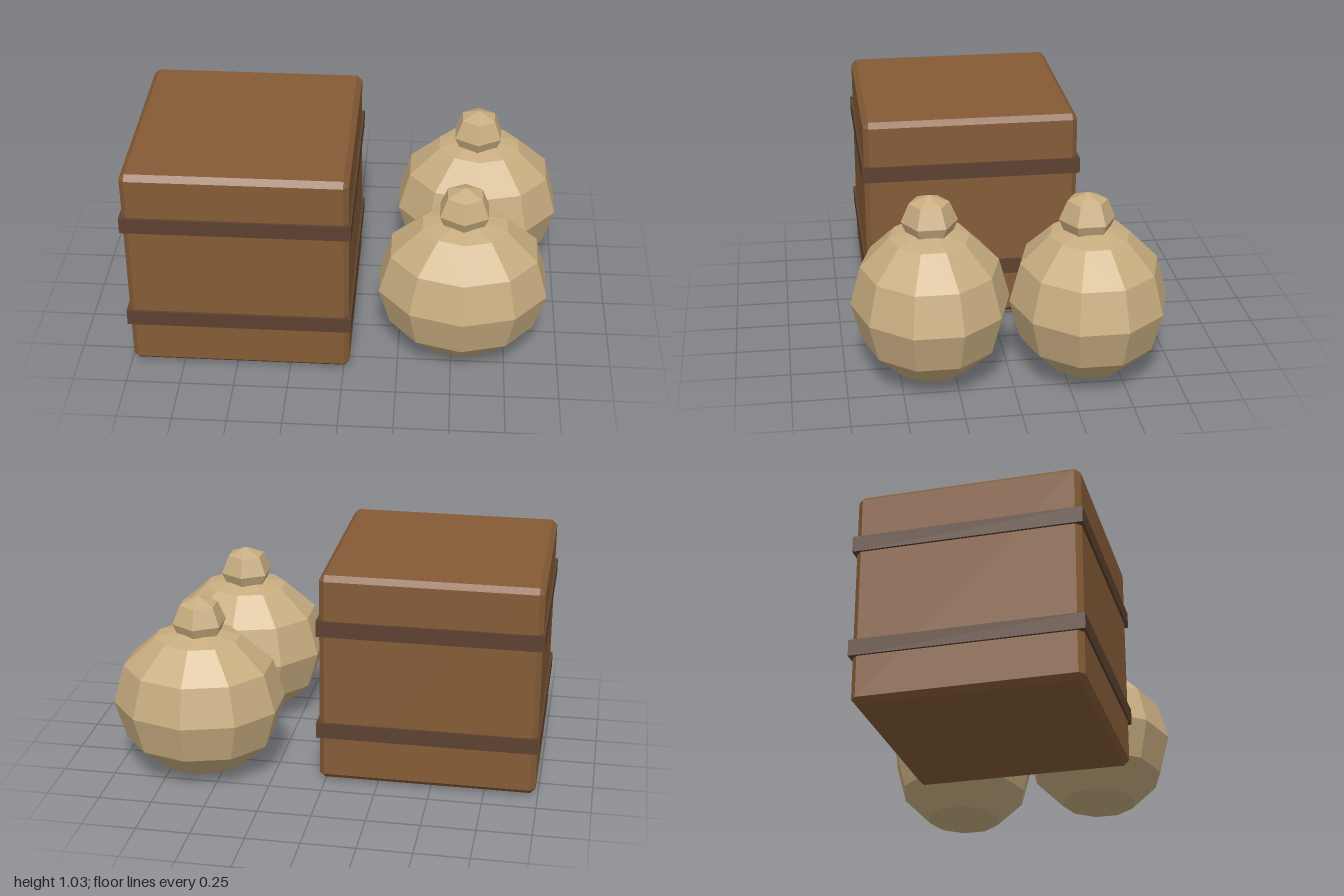
import * as THREE from 'three';
import { ConvexGeometry } from 'three/addons/geometries/ConvexGeometry.js';

const flat = (name, color) => {
  const m = new THREE.MeshStandardMaterial({ color, flatShading: true });
  m.name = name;
  return m;
};

// Cube with a single flat chamfer on every edge
function chamferedCube(half, c) {
  const pts = [], s = [-1, 1], a = half - c;
  for (const x of s) for (const y of s) for (const z of s) {
    pts.push(new THREE.Vector3(x * half, y * a, z * a));
    pts.push(new THREE.Vector3(x * a, y * half, z * a));
    pts.push(new THREE.Vector3(x * a, y * a, z * half));
  }
  return new ConvexGeometry(pts);
}

export function createModel() {
  const model = new THREE.Group();
  const wood = flat('crate wood', 0x855b36);
  const strap = flat('dark strap', 0x5c412f);
  const cloth = flat('sack cloth', 0xc8ad80);

  const add = (parent, name, geometry, material, x, y, z) => {
    const mesh = new THREE.Mesh(geometry, material);
    mesh.name = name;
    mesh.position.set(x, y, z);
    parent.add(mesh);
    return mesh;
  };

  // Crate with two straps around it
  const crate = new THREE.Group();
  crate.name = 'crate';
  crate.position.set(-0.481, 0, 0.1);
  add(crate, 'crateBody', chamferedCube(0.508, 0.025), wood, 0, 0.525, 0);
  const band = new THREE.BoxGeometry(1.038, 0.075, 1.038);
  add(crate, 'lowerStrap', band, strap, 0, 0.272, 0);
  add(crate, 'upperStrap', band, strap, 0, 0.781, 0);
  model.add(crate);

  // Sacks: a squat ten-sided ball with a six-sided knot on top
  const belly = new THREE.SphereGeometry(1, 10, 6).rotateY(Math.PI / 10);
  const knot = new THREE.SphereGeometry(1, 6, 4).rotateY(Math.PI / 6);
  const addSack = (name, x, z, knotX, knotZ) => {
    const sack = new THREE.Group();
    sack.name = name;
    add(sack, 'sackBody', belly, cloth, x, 0.368, z).scale.set(0.407, 0.365, 0.362);
    add(sack, 'sackKnot', knot, cloth, knotX, 0.754, knotZ).scale.set(0.128, 0.125, 0.128);
    model.add(sack);
  };
  addSack('frontSack', 0.543, 0.354, 0.538, 0.352);
  addSack('backSack', 0.607, -0.36, 0.6, -0.348);

  return model;
}
